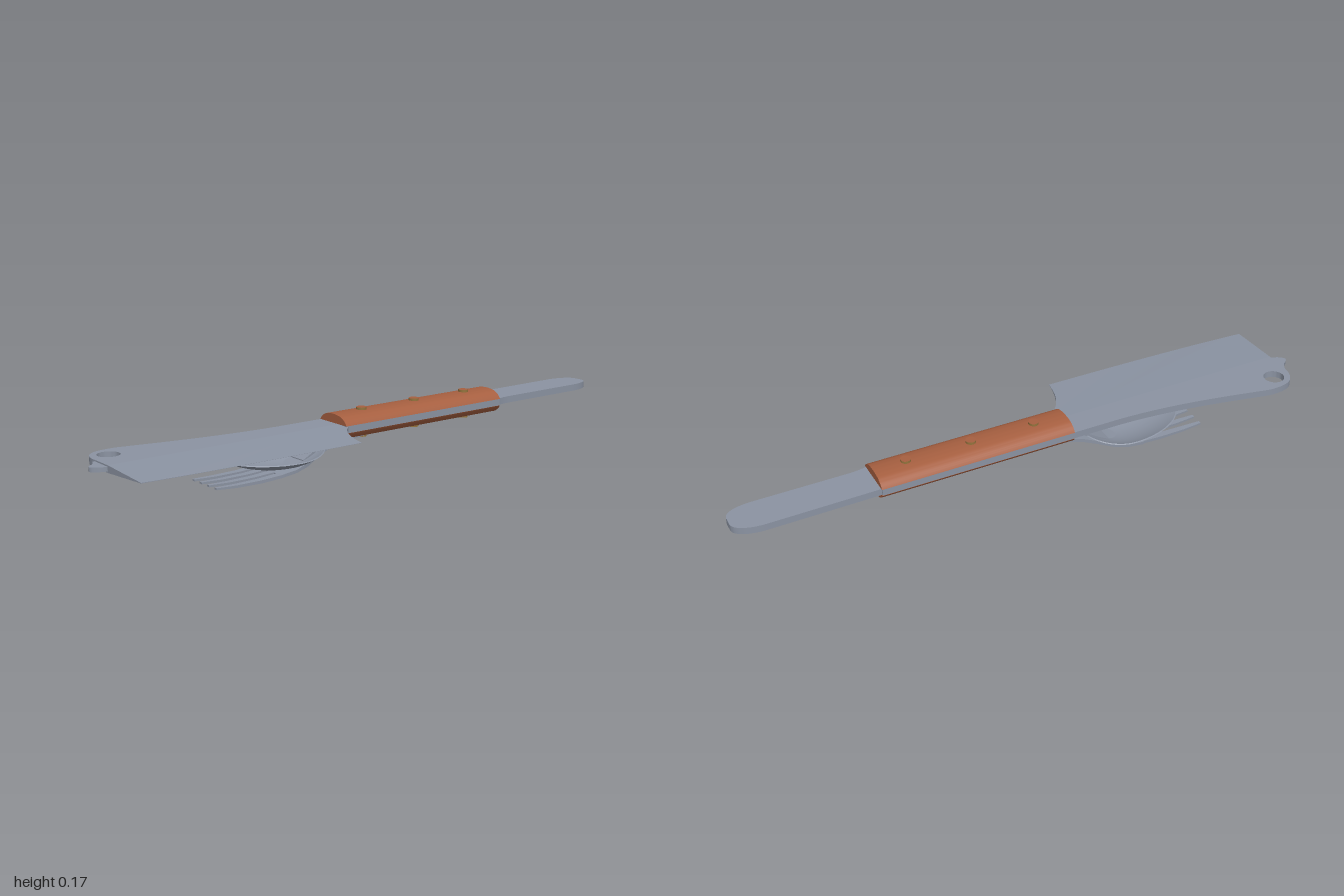
import * as THREE from 'three';
import { toCreasedNormals } from 'three/addons/utils/BufferGeometryUtils.js';

const CX = -0.045, MID = 0.1165, HALF = 0.0115;

export function createModel() {
  const group = new THREE.Group();
  const material = (name, color) => {
    const m = new THREE.MeshStandardMaterial({ color });
    m.name = name;
    return m;
  };
  const steel = material('steel', 0x8b93a2);
  const wood = material('wood', 0xa65f40);
  const brass = material('brass', 0x94733c);

  const add = (name, geometry, mat) => {
    const mesh = new THREE.Mesh(geometry, mat);
    mesh.name = name;
    group.add(mesh);
    return mesh;
  };

  // Flat plate from an outline in x and z, centred on the middle plane
  const plate = (shape, half) => new THREE.ExtrudeGeometry(shape, { depth: 2 * half, bevelEnabled: false, curveSegments: 16 })
    .rotateX(Math.PI / 2).translate(0, MID + half, 0);

  // Strip lofted through rectangular sections [z, y, halfWidth, halfThickness]
  const strip = (sections, xAt = () => CX) => {
    const pos = [], index = [];
    sections.forEach(([z, y, w, t], i) => {
      const x = xAt(i);
      pos.push(x - w, y + t, z, x - w, y - t, z, x + w, y - t, z, x + w, y + t, z);
      if (i === 0) return;
      for (let k = 0; k < 4; k++) {
        const a = (i - 1) * 4 + k, b = (i - 1) * 4 + (k + 1) % 4;
        index.push(a, b, a + 4, b, b + 4, a + 4);
      }
    });
    const e = (sections.length - 1) * 4;
    index.push(0, 2, 1, 0, 3, 2, e, e + 1, e + 2, e, e + 2, e + 3);
    const g = new THREE.BufferGeometry();
    g.setAttribute('position', new THREE.Float32BufferAttribute(pos, 3));
    g.setIndex(index);
    return toCreasedNormals(g, 0.6);
  };

  // Handle: steel tang between two arched wooden scales
  add('tang', new THREE.BoxGeometry(0.138, 2 * HALF, 0.664).translate(CX, MID, -0.202), steel);
  const arch = new THREE.Shape();
  arch.moveTo(0.07, HALF);
  arch.bezierCurveTo(0.062, 0.026, 0.045, 0.037, 0.027, 0.039);
  arch.quadraticCurveTo(0, 0.043, -0.027, 0.039);
  arch.bezierCurveTo(-0.045, 0.037, -0.062, 0.026, -0.07, HALF);
  arch.closePath();
  for (const side of [1, -1]) {
    const g = new THREE.ExtrudeGeometry(arch, { depth: 0.667, bevelEnabled: false, curveSegments: 8 }).translate(0, 0, -0.3335);
    if (side < 0) g.rotateZ(Math.PI);
    g.translate(CX, MID, -0.2025);
    add(side > 0 ? 'upperScale' : 'lowerScale', toCreasedNormals(g, 0.7), wood);
  }
  for (const z of [-0.427, -0.205, 0.017]) {
    add('rivet', new THREE.CylinderGeometry(0.017, 0.017, 0.097, 20).translate(CX, MID, z), [brass, wood, wood]);
  }

  // Cleaver: thick spine half with hanging hole, then a half ground to an edge
  const GRIND = -0.02, EDGE = 0.186;
  const spine = new THREE.Shape();
  spine.moveTo(GRIND, 0.12);
  spine.lineTo(GRIND, 0.953);
  spine.lineTo(-0.095, 0.953);
  spine.quadraticCurveTo(-0.15, 0.958, -0.178, 0.92);
  spine.quadraticCurveTo(-0.196, 0.885, -0.19, 0.83);
  spine.bezierCurveTo(-0.165, 0.71, -0.118, 0.52, -0.113, 0.3);
  spine.lineTo(-0.113, 0.12);
  spine.closePath();
  const hole = new THREE.Path();
  hole.absarc(-0.131, 0.891, 0.035, 0, Math.PI * 2, true);
  spine.holes.push(hole);
  add('cleaverSpine', toCreasedNormals(plate(spine, HALF), 0.6), steel);

  const ground = new THREE.Shape();
  ground.moveTo(GRIND, 0.12);
  ground.lineTo(0.022, 0.12);
  ground.quadraticCurveTo(0.07, 0.182, EDGE, 0.195);
  ground.quadraticCurveTo(0.188, 0.7, 0.17, 0.953);
  ground.lineTo(GRIND, 0.953);
  ground.closePath();
  const wedge = plate(ground, HALF);
  const wp = wedge.attributes.position;
  for (let i = 0; i < wp.count; i++) {
    const k = Math.max(0.03, (EDGE - wp.getX(i)) / (EDGE - GRIND));
    wp.setY(i, MID + (wp.getY(i) - MID) * k);
  }
  add('cleaverEdge', toCreasedNormals(wedge, 0.5), steel);

  // Lip beyond the end of the cleaver
  const lip = new THREE.Shape();
  lip.moveTo(-0.1, 0.94);
  lip.lineTo(-0.02, 0.94);
  lip.quadraticCurveTo(-0.02, 0.975, -0.04, 0.993);
  lip.quadraticCurveTo(-0.05, 1.005, -0.065, 0.985);
  lip.quadraticCurveTo(-0.075, 0.968, -0.1, 0.96);
  add('tipLip', toCreasedNormals(plate(lip, 0.007), 0.6), steel);

  // Round-ended spreader behind the handle
  const spreader = new THREE.Shape();
  spreader.moveTo(0.02, -0.53);
  spreader.quadraticCurveTo(0.01, -0.56, 0.01, -0.6);
  spreader.lineTo(0.01, -0.9);
  spreader.bezierCurveTo(0.01, -0.97, -0.01, -1, -0.035, -1);
  spreader.lineTo(-0.065, -1);
  spreader.bezierCurveTo(-0.09, -1, -0.112, -0.96, -0.112, -0.9);
  spreader.lineTo(-0.109, -0.53);
  spreader.closePath();
  add('spreader', toCreasedNormals(plate(spreader, HALF), 0.6), steel);

  // Spoon: a lathed dish stretched to an egg outline with a lifted rim
  const profile = [];
  for (let i = 0; i <= 10; i++) profile.push(new THREE.Vector2(i / 10, -0.036 * (1 - (i / 10) ** 2)));
  for (let i = 10; i >= 0; i--) profile.push(new THREE.Vector2(0.98 * i / 10, 0.003 - 0.033 * (1 - (i / 10) ** 2)));
  const bowl = new THREE.LatheGeometry(profile, 40);
  const bp = bowl.attributes.position;
  for (let i = 0; i < bp.count; i++) {
    const s = bp.getZ(i);
    bp.setXYZ(i, CX + 0.003 + bp.getX(i) * 0.121, 0.052 + bp.getY(i) + s * s * (s > 0 ? 0.012 : 0.02),
      0.34 + s * (s > 0 ? 0.21 : 0.15));
  }
  add('spoonBowl', toCreasedNormals(bowl, 0.8), steel);
  add('spoonNeck', strip([
    [0.06, 0.092, 0.028, 0.007], [0.15, 0.09, 0.028, 0.007], [0.19, 0.08, 0.032, 0.006],
    [0.23, 0.058, 0.04, 0.005], [0.28, 0.032, 0.04, 0.004],
  ]), steel);

  // Fork: neck widening to a shoulder, then four tines
  add('forkBase', strip([
    [0.03, 0.081, 0.028, 0.006], [0.12, 0.073, 0.028, 0.006], [0.18, 0.058, 0.032, 0.006],
    [0.23, 0.042, 0.046, 0.006], [0.28, 0.027, 0.066, 0.006], [0.33, 0.016, 0.077, 0.005], [0.39, 0.009, 0.078, 0.005],
  ]), steel);
  for (let n = 0; n < 4; n++) {
    const x = CX + 0.002 + (n - 1.5) * 0.042;
    add('forkTine', strip([
      [0.38, 0.01, 0.014, 0.005], [0.46, 0.005, 0.012, 0.005],
      [0.55, 0.005, 0.01, 0.004], [0.62, 0.008, 0.006, 0.003],
    ], () => x), steel);
  }
  return group;
}
